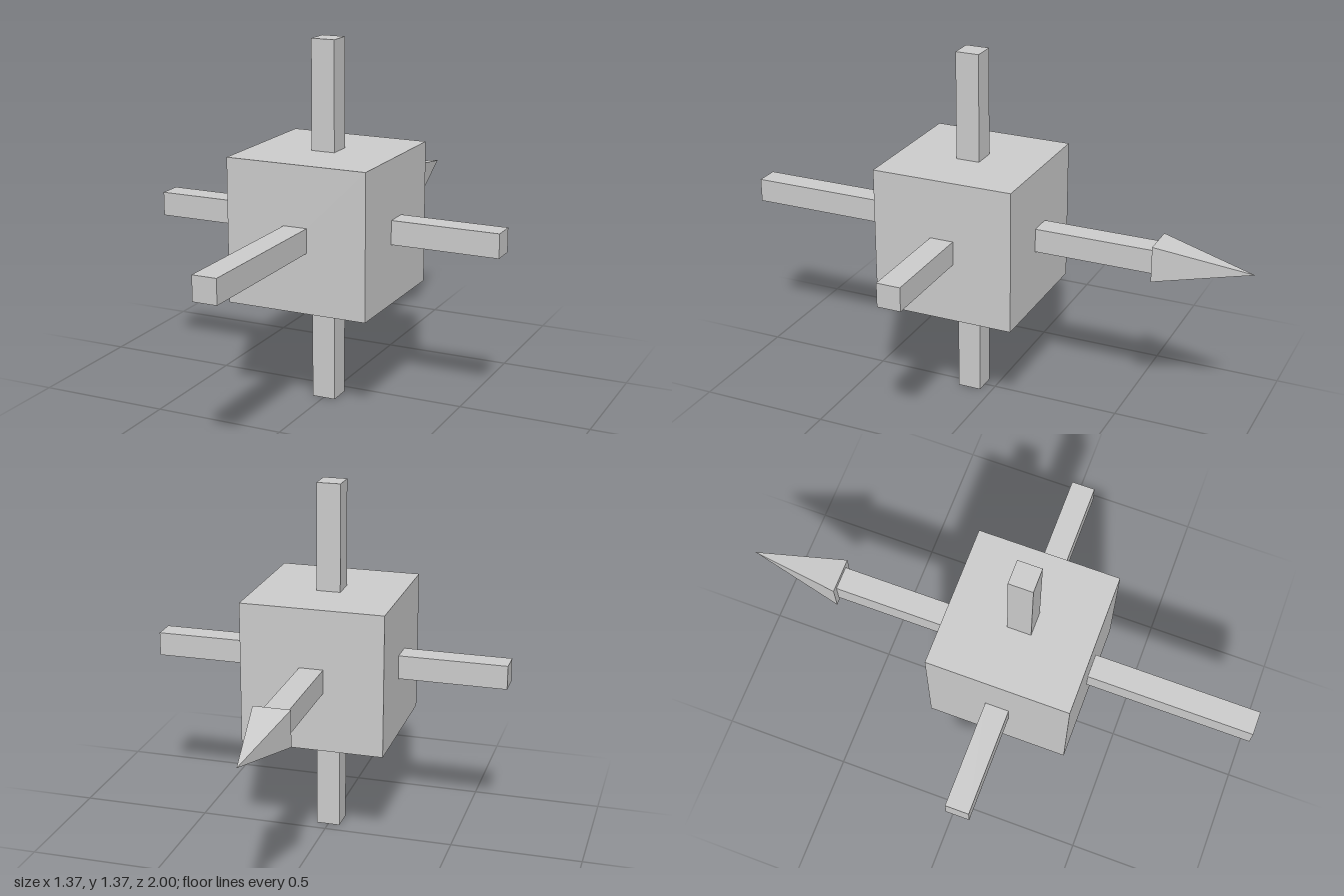
import * as THREE from 'three';

export function createModel() {
  const model = new THREE.Group();
  model.name = 'spikedCube';
  const material = new THREE.MeshStandardMaterial({ color: 0xcccccc, flatShading: true });

  const cy = 0.683, cz = 0.09;   // centre of the cube
  const size = 0.545, bar = 0.091, reach = 0.683;
  const headBase = -0.64, tip = -1, front = 1;

  const add = (name, geometry, x, y, z) => {
    const mesh = new THREE.Mesh(geometry, material);
    mesh.name = name;
    mesh.position.set(x, y, z);
    model.add(mesh);
  };

  // Central cube
  add('cube', new THREE.BoxGeometry(size, size, size), 0, cy, cz);

  // Side, top and bottom bars, from the cube's faces outwards
  const length = reach - size / 2;
  const offset = (reach + size / 2) / 2;
  for (const s of [1, -1]) {
    add(s > 0 ? 'leftBar' : 'rightBar', new THREE.BoxGeometry(length, bar, bar), s * offset, cy, cz);
    add(s > 0 ? 'topBar' : 'bottomBar', new THREE.BoxGeometry(bar, length, bar), 0, cy + s * offset, cz);
  }

  // Front bar and arrow shaft
  const addShaft = (name, z0, z1) =>
    add(name, new THREE.BoxGeometry(bar, bar, z1 - z0), 0, cy, (z0 + z1) / 2);
  addShaft('frontBar', cz + size / 2, front);
  addShaft('arrowShaft', headBase, cz - size / 2);

  // Four-sided arrow head pointing backwards
  const head = new THREE.ConeGeometry(0.068 * Math.SQRT2, headBase - tip, 4, 1, false, Math.PI / 4);
  head.rotateX(-Math.PI / 2);
  add('arrowHead', head, 0, cy, (headBase + tip) / 2);

  return model;
}
